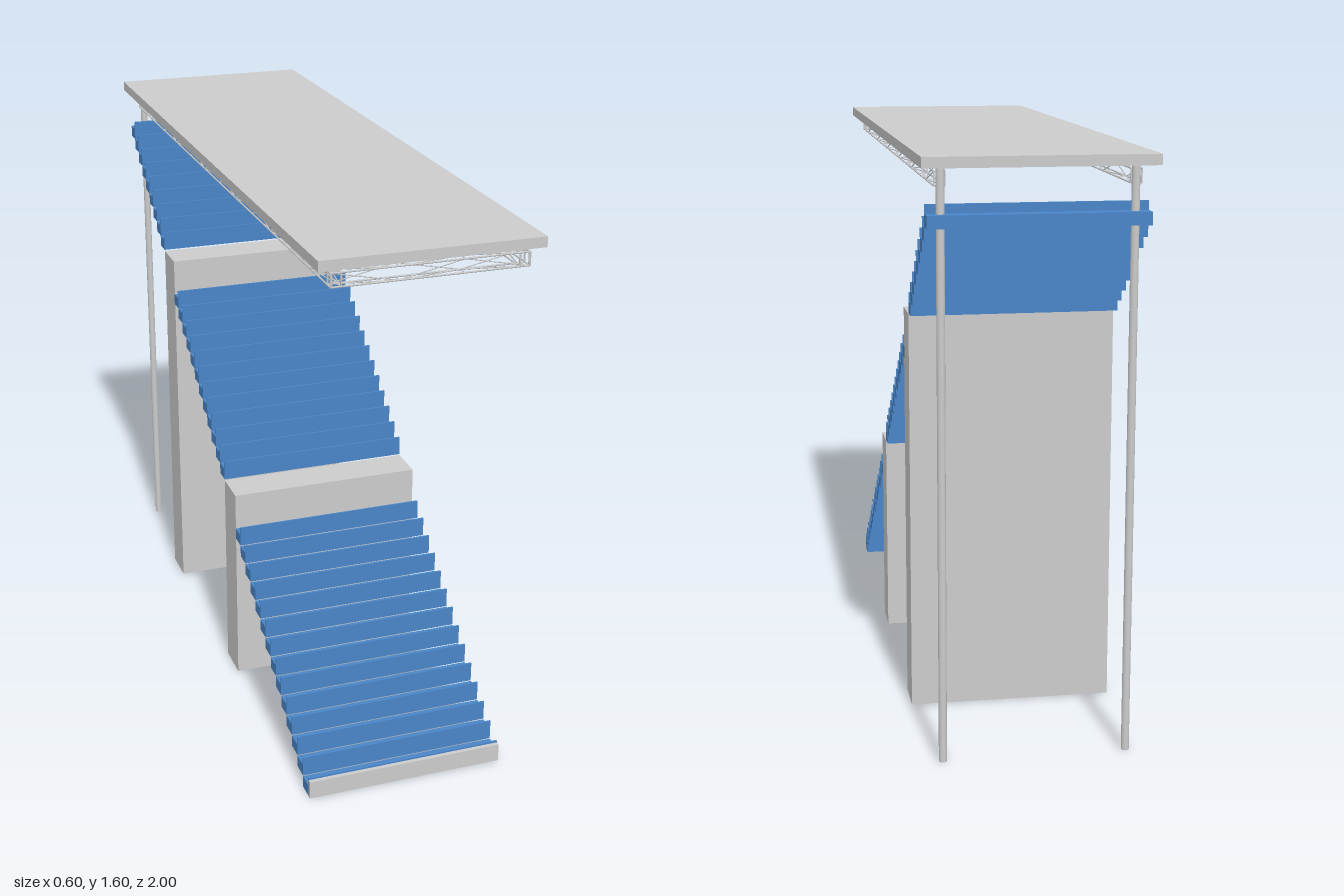
import * as THREE from 'three';
import { mergeGeometries } from 'three/addons/utils/BufferGeometryUtils.js';

const grey = new THREE.MeshStandardMaterial({ color: 0xcccccc });
const blue = new THREE.MeshStandardMaterial({ color: 0x4a86c8 });
const HALF_WIDTH = 0.285;

function box(name, x0, x1, y0, y1, z0, z1, material = grey) {
  const mesh = new THREE.Mesh(new THREE.BoxGeometry(x1 - x0, y1 - y0, z1 - z0), material);
  mesh.position.set((x0 + x1) / 2, (y0 + y1) / 2, (z0 + z1) / 2);
  mesh.name = name;
  return mesh;
}

// Thin round bar between two points
function rod(a, b, radius = 0.0025) {
  const dir = b.clone().sub(a);
  const g = new THREE.CylinderGeometry(radius, radius, dir.length(), 6);
  g.applyQuaternion(new THREE.Quaternion().setFromUnitVectors(new THREE.Vector3(0, 1, 0), dir.normalize()));
  return g.translate((a.x + b.x) / 2, (a.y + b.y) / 2, (a.z + b.z) / 2);
}

// Box truss running from start to end; side is its horizontal width vector
function truss(name, start, end, side, panels) {
  const up = new THREE.Vector3(0, 0.036, 0);
  const at = (i, s, h) => start.clone().lerp(end, i / panels).addScaledVector(side, s).addScaledVector(up, h);
  const parts = [];
  for (const s of [0, 1]) {
    for (const h of [0, 1]) parts.push(rod(at(0, s, h), at(panels, s, h)));
    // Diagonals slope opposite ways on the two faces
    for (let i = 0; i < panels; i++) {
      const low = (i + s) % 2;
      parts.push(rod(at(i, s, low), at(i + 1, s, 1 - low), 0.0015));
    }
    for (const i of [0, panels]) parts.push(rod(at(i, s, 0), at(i, s, 1)));
  }
  // Horizontal ties and diagonals on top and bottom
  for (const h of [0, 1]) {
    for (let i = 0; i <= panels; i++) {
      parts.push(rod(at(i, 0, h), at(i, 1, h), 0.0015));
      if (i < panels) parts.push(rod(at(i, i % 2, h), at(i + 1, 1 - (i % 2), h), 0.0015));
    }
  }
  const mesh = new THREE.Mesh(mergeGeometries(parts), grey);
  mesh.name = name;
  return mesh;
}

// Flight of seat rows: a solid tread with a thin upright at its front edge
function seatFlight(name, rows, z, y, stepZ, stepY) {
  const flight = new THREE.Group();
  flight.name = name;
  for (let i = 0; i < rows; i++) {
    const front = z - i * stepZ, base = y + i * stepY;
    flight.add(
      box('seatTread', -HALF_WIDTH, HALF_WIDTH, base, base + 0.034, front - 0.048, front, blue),
      box('seatUpright', -HALF_WIDTH, HALF_WIDTH, base, base + 0.058, front - 0.005, front, blue)
    );
  }
  return flight;
}

export function createModel() {
  const model = new THREE.Group();
  model.name = 'grandstand';

  // Three flights of seating
  model.add(
    seatFlight('lowerSeats', 14, 0.895, 0, 0.0487, 0.0359),
    seatFlight('middleSeats', 12, 0.102, 0.613, 0.0459, 0.0343),
    seatFlight('upperSeats', 9, -0.563, 1.138, 0.0452, 0.035)
  );

  // Front wall and the two concrete piers
  model.add(
    box('frontWall', -HALF_WIDTH, HALF_WIDTH, 0, 0.053, 0.893, 0.907),
    box('lowerPier', -HALF_WIDTH, HALF_WIDTH, 0, 0.61, 0.102, 0.215),
    box('upperPier', -HALF_WIDTH, HALF_WIDTH, 0, 1.135, -0.56, -0.445)
  );

  // Roof slab
  model.add(box('roof', -0.3, 0.3, 1.57, 1.598, -1, 1));

  // Rear posts and roof trusses along each side
  for (const s of [-1, 1]) {
    const post = new THREE.Mesh(new THREE.CylinderGeometry(0.011, 0.011, 1.57, 12), grey);
    post.position.set(s * 0.247, 0.785, -0.943);
    post.name = s > 0 ? 'leftPost' : 'rightPost';
    model.add(post);
    model.add(truss(s > 0 ? 'leftTruss' : 'rightTruss',
      new THREE.Vector3(s * 0.235, 1.522, 0.984), new THREE.Vector3(s * 0.235, 1.522, -0.94),
      new THREE.Vector3(s * 0.027, 0, 0), 12));
  }

  // Cross truss at the front end
  model.add(truss('frontTruss', new THREE.Vector3(-0.26, 1.522, 0.957), new THREE.Vector3(0.26, 1.522, 0.957),
    new THREE.Vector3(0, 0, 0.027), 3));

  return model;
}
